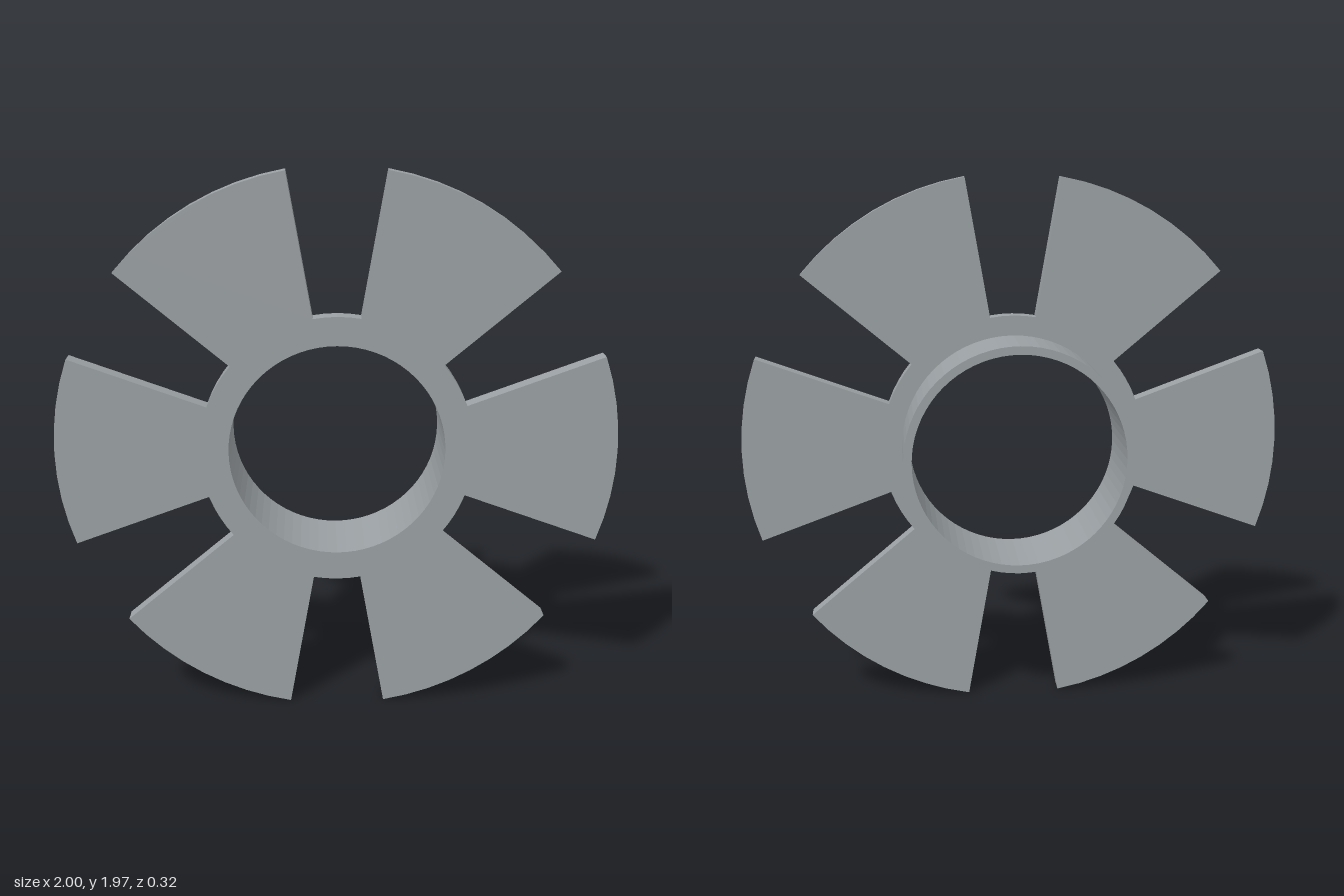
import * as THREE from 'three';

const STEP = Math.PI / 36;      // 5 degree facets
const TIP_R = 1, ROOT_R = 0.488, BORE_R = 0.385, COLLAR_R = 0.415;
const BACK_Z = -0.16, PLATE_Z = 0.095, FRONT_Z = 0.16;
const CENTER_Y = Math.cos(Math.PI / 18);

const polar = (r, i) => new THREE.Vector2(r * Math.cos(i * STEP), r * Math.sin(i * STEP));

export function createModel() {
  const metal = new THREE.MeshStandardMaterial({ color: 0x9aa0a3, flatShading: true });
  metal.name = 'grey metal';
  const wheel = new THREE.Group();
  wheel.name = 'slottedWheel';

  // Slotted plate: six 40 degree blades with 20 degree gaps down to the root ring
  const outline = [];
  for (let blade = 0; blade < 6; blade++) {
    const mid = blade * 12;
    for (let i = -4; i <= 4; i++) outline.push(polar(TIP_R, mid + i));
    for (let i = 4; i <= 8; i++) outline.push(polar(ROOT_R, mid + i));
  }
  const shape = new THREE.Shape(outline);
  const bore = [];
  for (let i = 0; i < 72; i++) bore.push(polar(BORE_R, -i));
  shape.holes.push(new THREE.Path(bore));
  const plate = new THREE.Mesh(
    new THREE.ExtrudeGeometry(shape, { depth: FRONT_Z - PLATE_Z, bevelEnabled: false }), metal);
  plate.name = 'bladePlate';
  plate.position.z = PLATE_Z;
  wheel.add(plate);

  // Thin-walled collar behind the plate, sharing its bore
  const profile = [[BORE_R, PLATE_Z], [BORE_R, BACK_Z], [COLLAR_R, BACK_Z], [COLLAR_R, PLATE_Z]]
    .map(([r, z]) => new THREE.Vector2(r, z));
  const collar = new THREE.Mesh(new THREE.LatheGeometry(profile, 72), metal);
  collar.name = 'hubCollar';
  collar.rotation.x = Math.PI / 2;
  wheel.add(collar);

  wheel.position.y = CENTER_Y;
  const model = new THREE.Group();
  model.name = 'model';
  model.add(wheel);
  return model;
}
